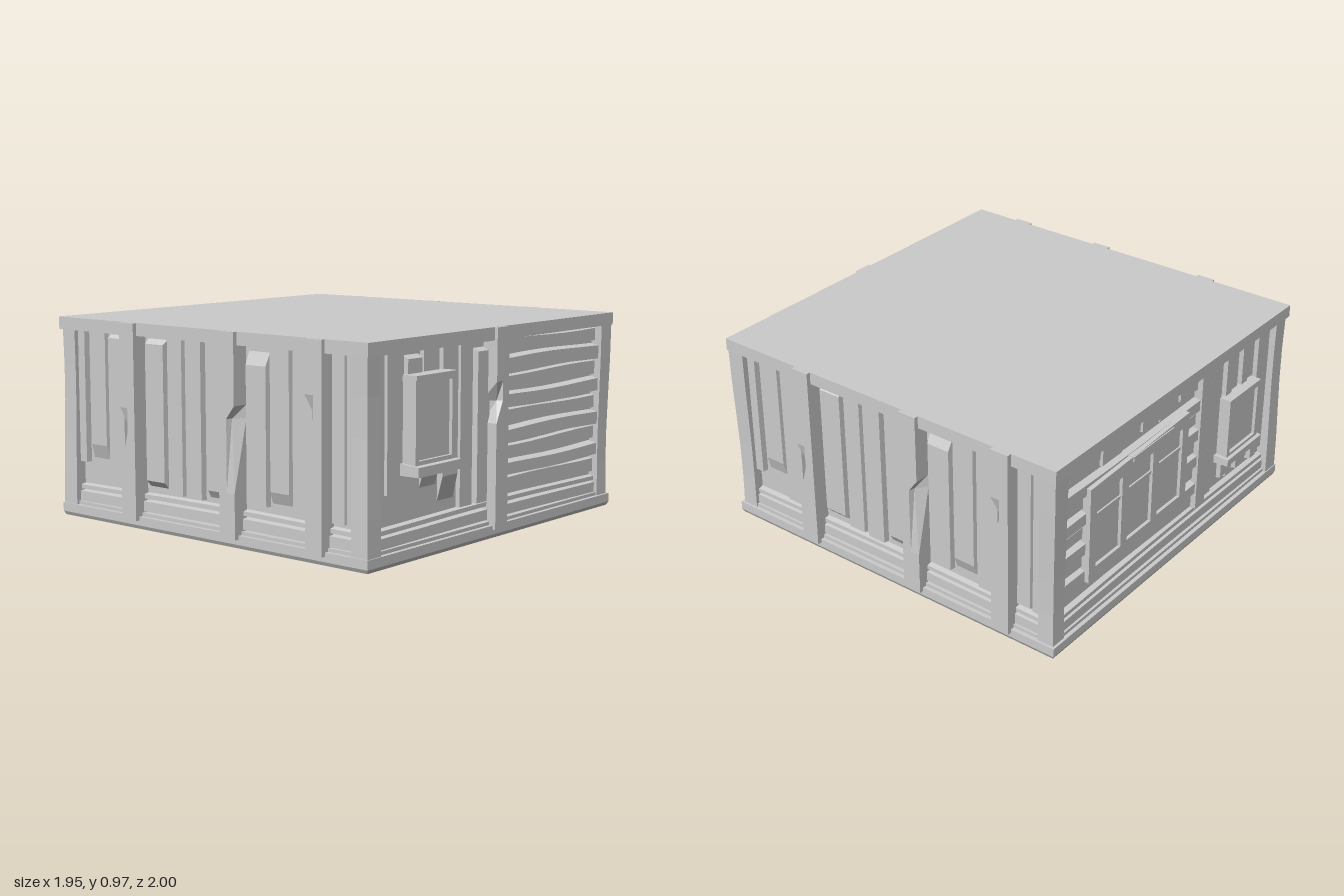
import * as THREE from 'three';

const mat = new THREE.MeshStandardMaterial({ color: 0xcccccc, flatShading: true });
const H = 0.955;        // half width of the square plan
const BACK = -0.062;    // depth of the bare wall behind the outer plane

function addMesh(parent, name, geo) {
  const m = new THREE.Mesh(geo, mat);
  m.name = name;
  parent.add(m);
  return m;
}

function warp(geo, rule) {
  const p = geo.attributes.position, v = new THREE.Vector3();
  for (let i = 0; i < p.count; i++) {
    v.fromBufferAttribute(p, i);
    rule(v);
    p.setXYZ(i, v.x, v.y, v.z);
  }
  geo.computeVertexNormals();
  return geo;
}

// Board on a wall; its face may slope back at the top, bottom and sides
function board(g, name, [x0, x1], [y0, y1], front, { top = 0, bottom = 0, side = 0, wave = 0, phase = 0 } = {}) {
  const back = BACK - 0.01, w = x1 - x0, h = y1 - y0, d = front - back;
  const geo = warp(new THREE.BoxGeometry(w, h, d, wave ? 6 : 1, 1, 1), v => {
    const t = v.x / w + 0.5;
    if (v.z > 0) {
      v.y -= v.y > 0 ? top : -bottom;
      v.x *= 1 - 2 * side / w;
    }
    v.y += wave * Math.sin(t * 5 + phase);
  });
  addMesh(g, name, geo).position.set((x0 + x1) / 2, (y0 + y1) / 2, (front + back) / 2);
}

// Tall batten with a chip broken from one front edge; chip gives its low, middle and high points
function batten(g, x, chip, sideSign, front = 0.021) {
  const rows = [0.042, ...chip, 0.965];
  const geo = warp(new THREE.BoxGeometry(0.094, 4, 0.08, 2, 4, 1), v => {
    const row = Math.round(v.y + 2);
    v.y = rows[row];
    if (row === 2 && v.z > 0 && v.x * sideSign > 0.01) {
      v.x -= sideSign * 0.038;
      v.z -= 0.028;
    }
  });
  addMesh(g, 'batten', geo).position.set(x, 0, front - 0.04);
}

// Window frame with one or more recessed panes
function windowFrame(g, [x0, x1], [y0, y1], front, panes, rim, sag = 0) {
  const win = new THREE.Group();
  win.name = 'window';
  const shape = new THREE.Shape([[x0, y0], [x1, y0 + sag], [x1, y1 + sag], [x0, y1]].map(a => new THREE.Vector2(...a)));
  const step = (x1 - x0 - rim) / panes;
  for (let i = 0; i < panes; i++) {
    const a = x0 + rim + i * step, b = a + step - rim;
    const s = sag * (i + 0.5) / panes, lo = y0 + rim * 1.2 + s, hi = y1 - rim * 1.2 + s;
    shape.holes.push(new THREE.Path([[a, lo], [a, hi], [b, hi], [b, lo]].map(q => new THREE.Vector2(...q))));
    board(win, 'pane', [a - 0.01, b + 0.01], [lo - 0.01, hi + 0.01], front - 0.016);
    if (panes > 1) board(win, 'glazingBar', [a, b], [hi - 0.115, hi - 0.098], front - 0.008);
  }
  const frame = addMesh(win, 'frame', new THREE.ExtrudeGeometry(shape, { depth: front - BACK, bevelEnabled: false }));
  frame.position.z = BACK;
  g.add(win);
  return win;
}

// Low horizontal boards running along the foot of a wall
function skirting(g) {
  const span = [-0.87, 0.87];
  board(g, 'skirtingBoard', span, [0.05, 0.076], -0.02);
  board(g, 'skirtingBoard', span, [0.08, 0.134], -0.03, { top: 0.006, wave: 0.004, phase: -1 });
  board(g, 'skirtingBoard', span, [0.14, 0.168], -0.036, { top: 0.008, wave: 0.006, phase: -1 });
}

// rows: [x0, x1, y0, y1, bottom slope, top slope]
function planks(g, rows, front = -0.034) {
  rows.forEach(([x0, x1, y0, y1, bottom = 0, top = 0], i) =>
    board(g, 'plank', [x0, x1], [y0, y1], front - (i % 2) * 0.008, { bottom, top, side: 0.005 }));
}

function wall(root, name, turn) {
  const pivot = new THREE.Group(), g = new THREE.Group();
  pivot.name = name;
  pivot.rotation.y = turn;
  g.position.z = H;
  pivot.add(g);
  root.add(pivot);
  return g;
}

function frontWall(root) {
  const g = wall(root, 'frontWall', 0);
  skirting(g);
  planks(g, [
    [-0.87, -0.80, 0.27, 0.91], [-0.78, -0.66, 0.30, 0.91], [-0.65, -0.54, 0.40, 0.89, 0, 0.02],
    [-0.53, -0.41, 0.26, 0.91, 0.11], [-0.40, -0.28, 0.18, 0.91, 0.15], [-0.26, -0.16, 0.17, 0.91], [-0.14, -0.04, 0.17, 0.88, 0, 0.02]
  ]);
  // Lapped boards on the other half
  const edges = [0.18, 0.265, 0.34, 0.42, 0.50, 0.58, 0.66, 0.745, 0.83, 0.91];
  for (let i = 0; i < 9; i++) {
    const raised = i % 2;
    board(g, 'lappedBoard', [0.02, raised ? 0.85 : 0.87], [edges[i] + 0.005, edges[i + 1] - 0.005], raised ? -0.015 : -0.042,
      { top: 0.01, wave: 0.005, phase: i * 1.7 });
  }
  batten(g, -0.01, [0.53, 0.63, 0.72], -1, 0.015);
  const win = windowFrame(g, [-0.67, -0.388], [0.41, 0.80], 0.028, 1, 0.024);
  board(win, 'lintel', [-0.672, -0.386], [0.775, 0.806], 0.034, { bottom: 0.01 });
  board(win, 'sill', [-0.69, -0.375], [0.375, 0.43], 0.055, { top: 0.012, side: 0.006 });
}

function sideWall(root, name, turn) {
  const g = wall(root, name, turn);
  skirting(g);
  planks(g, [
    [-0.87, -0.81, 0.27, 0.91], [-0.79, -0.675, 0.26, 0.91, 0.1], [-0.655, -0.54, 0.18, 0.90, 0, 0.02], [-0.52, -0.42, 0.18, 0.91],
    [-0.403, -0.276, 0.19, 0.90, 0.04, 0.03], [-0.266, -0.165, 0.18, 0.91], [-0.14, -0.036, 0.18, 0.91], [-0.012, 0.10, 0.18, 0.91, 0.05],
    [0.233, 0.36, 0.20, 0.90, 0, 0.08], [0.368, 0.488, 0.19, 0.91, 0.08], [0.51, 0.63, 0.18, 0.91], [0.72, 0.80, 0.18, 0.91], [0.81, 0.87, 0.18, 0.91]
  ]);
  batten(g, -0.465, [0.28, 0.46, 0.57], -1);
  batten(g, 0.17, [0.25, 0.58, 0.64], 1);
  batten(g, 0.675, [0.50, 0.63, 0.73], -1);
}

function backWall(root) {
  const g = wall(root, 'backWall', Math.PI);
  skirting(g);
  // Horizontal boards around the wide window, with short shingles above
  for (let i = 0; i < 8; i++) {
    const y = 0.18 + i * 0.075;
    board(g, 'lappedBoard', [-0.87, 0.21], [y, y + 0.067], i % 2 ? -0.03 : -0.048, { top: 0.012, wave: 0.004, phase: i * 1.3 });
  }
  for (let i = 0; i < 7; i++) {
    const x = -0.86 + i * 0.153;
    board(g, 'shingle', [x, x + 0.146], [0.79 + 0.02 * Math.sin(i * 2.3), 0.91], i % 2 ? -0.052 : -0.044, { bottom: 0.01 });
  }
  const wide = windowFrame(g, [-0.69, 0.085], [0.255, 0.74], -0.008, 3, 0.05, 0.025);
  board(wide, 'lintel', [-0.40, -0.02], [0.725, 0.76], -0.003, { top: 0.01, side: 0.03 });
  board(g, 'divider', [0.205, 0.295], [0.17, 0.91], -0.022, { side: 0.006 });
  // Narrow upright planks behind the small window
  for (let i = 0; i < 8; i++) {
    const x = 0.305 + i * 0.071;
    planks(g, [[x, x + 0.06, 0.18 + (i % 3) * 0.015, 0.91 - (i % 2) * 0.02, 0.01, 0.01]], i % 2 ? -0.046 : -0.034);
  }
  const small = windowFrame(g, [0.42, 0.70], [0.35, 0.675], 0.012, 1, 0.025);
  board(small, 'sill', [0.395, 0.72], [0.33, 0.372], 0.03, { top: 0.008, side: 0.008 });
}

export function createModel() {
  const model = new THREE.Group();
  model.name = 'woodenBuilding';
  const root = new THREE.Group();
  root.name = 'structure';
  root.position.z = -0.015;
  model.add(root);

  addMesh(root, 'wallCore', new THREE.BoxGeometry(2 * (H + BACK), 0.9, 2 * (H + BACK))).position.y = 0.48;
  addMesh(root, 'roofSlab', new THREE.BoxGeometry(2 * H, 0.06, 2 * H)).position.y = 0.936;

  // Base slab with its lower edge cut back
  const base = warp(new THREE.BoxGeometry(2 * H, 0.06, 2 * H, 1, 2, 1), v => {
    if (v.y === 0) v.y = -0.012;
    if (v.y < -0.02) { v.x *= 0.99; v.z *= 0.99; }
  });
  addMesh(root, 'baseSlab', base).position.y = 0.03;

  // Weathered corner posts
  for (const sx of [-1, 1]) for (const sz of [-1, 1]) {
    const post = warp(new THREE.BoxGeometry(0.09, 0.86, 0.09, 1, 5, 1), v => {
      const inset = 0.005 + 0.005 * Math.cos(v.y * 5 + sx);
      if (v.x * sx > 0) v.x -= sx * inset;
      if (v.z * sz > 0) v.z -= sz * inset;
    });
    addMesh(root, 'cornerPost', post).position.set(sx * 0.905, 0.48, sz * 0.905);
  }

  frontWall(root);
  backWall(root);
  sideWall(root, 'leftWall', Math.PI / 2);
  sideWall(root, 'rightWall', -Math.PI / 2);
  return model;
}
